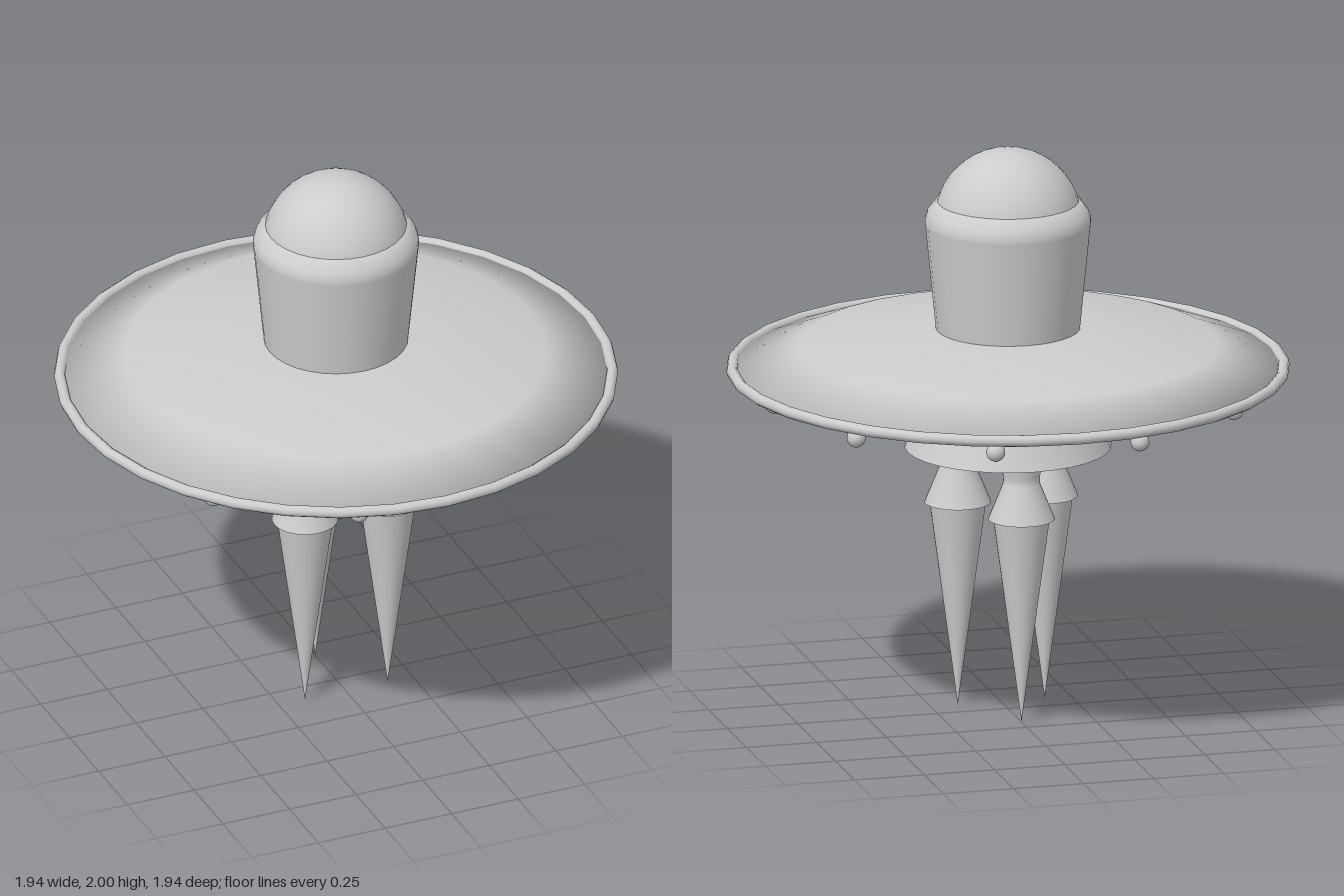
import * as THREE from 'three';

const SEGMENTS = 32;

export function createModel() {
  const model = new THREE.Group();
  model.name = 'flyingSaucer';
  const grey = new THREE.MeshStandardMaterial({ color: 0xcccccc });
  grey.name = 'hull grey';

  const add = (parent, name, geometry, x = 0, y = 0, z = 0) => {
    const mesh = new THREE.Mesh(geometry, grey);
    mesh.name = name;
    mesh.position.set(x, y, z);
    parent.add(mesh);
    return mesh;
  };
  // Profiles run from bottom to top as [radius, height]
  const lathe = (profile, segments = SEGMENTS) =>
    new THREE.LatheGeometry(profile.map(([r, y]) => new THREE.Vector2(r, y)), segments);
  const frustum = (top, bottom, yTop, yBottom, open = false) =>
    new THREE.CylinderGeometry(top, bottom, yTop - yBottom, SEGMENTS, 1, open)
      .translate(0, (yTop + yBottom) / 2, 0);

  // Saucer disc, symmetric above and below the rim
  add(model, 'saucerDisc', lathe([
    [0, 1.077], [0.33, 1.077], [0.725, 1.136], [0.95, 1.22],
    [0.725, 1.304], [0.33, 1.363], [0, 1.363],
  ]));
  add(model, 'rim', new THREE.TorusGeometry(0.952, 0.02, 10, SEGMENTS).rotateX(Math.PI / 2), 0, 1.22);

  // Tower with rounded shoulder and dome
  add(model, 'tower', frustum(0.286, 0.247, 1.738, 1.34));
  add(model, 'shoulder', lathe([[0.286, 1.738], [0.286, 1.755], [0.278, 1.778], [0.25, 1.815], [0.2, 1.82]]));
  add(model, 'dome', new THREE.SphereGeometry(0.254, SEGMENTS, 12, 0, Math.PI * 2, 0, Math.PI / 2), 0, 1.746);

  // Flared skirt under the disc
  add(model, 'skirt', frustum(0.3, 0.357, 1.08, 0.94));

  // Ring of lamps under the disc
  const lamps = new THREE.Group();
  lamps.name = 'lamps';
  model.add(lamps);
  const lampGeometry = new THREE.SphereGeometry(0.033, 16, 12);
  for (let i = 0; i < 10; i++) {
    const a = (i * Math.PI) / 5;
    add(lamps, 'lamp', lampGeometry, 0.832 * Math.cos(a), 1.147, 0.832 * Math.sin(a));
  }

  // Three thrusters: waisted nozzle, flat underside and a long spike
  const nozzle = lathe([[0.115, 0.727], [0.063, 0.855], [0.064, 0.88], [0.073, 0.945]]);
  const nozzleBase = new THREE.CircleGeometry(0.115, SEGMENTS).rotateX(Math.PI / 2);
  const spike = frustum(0.098, 0, 0.73, 0, true);
  for (let i = 0; i < 3; i++) {
    const a = -Math.PI / 2 + (i * Math.PI * 2) / 3;
    const thruster = new THREE.Group();
    thruster.name = 'thruster';
    thruster.position.set(0.179 * Math.cos(a), 0, 0.179 * Math.sin(a));
    add(thruster, 'nozzle', nozzle);
    add(thruster, 'nozzleBase', nozzleBase, 0, 0.727);
    add(thruster, 'spike', spike);
    model.add(thruster);
  }

  return model;
}
